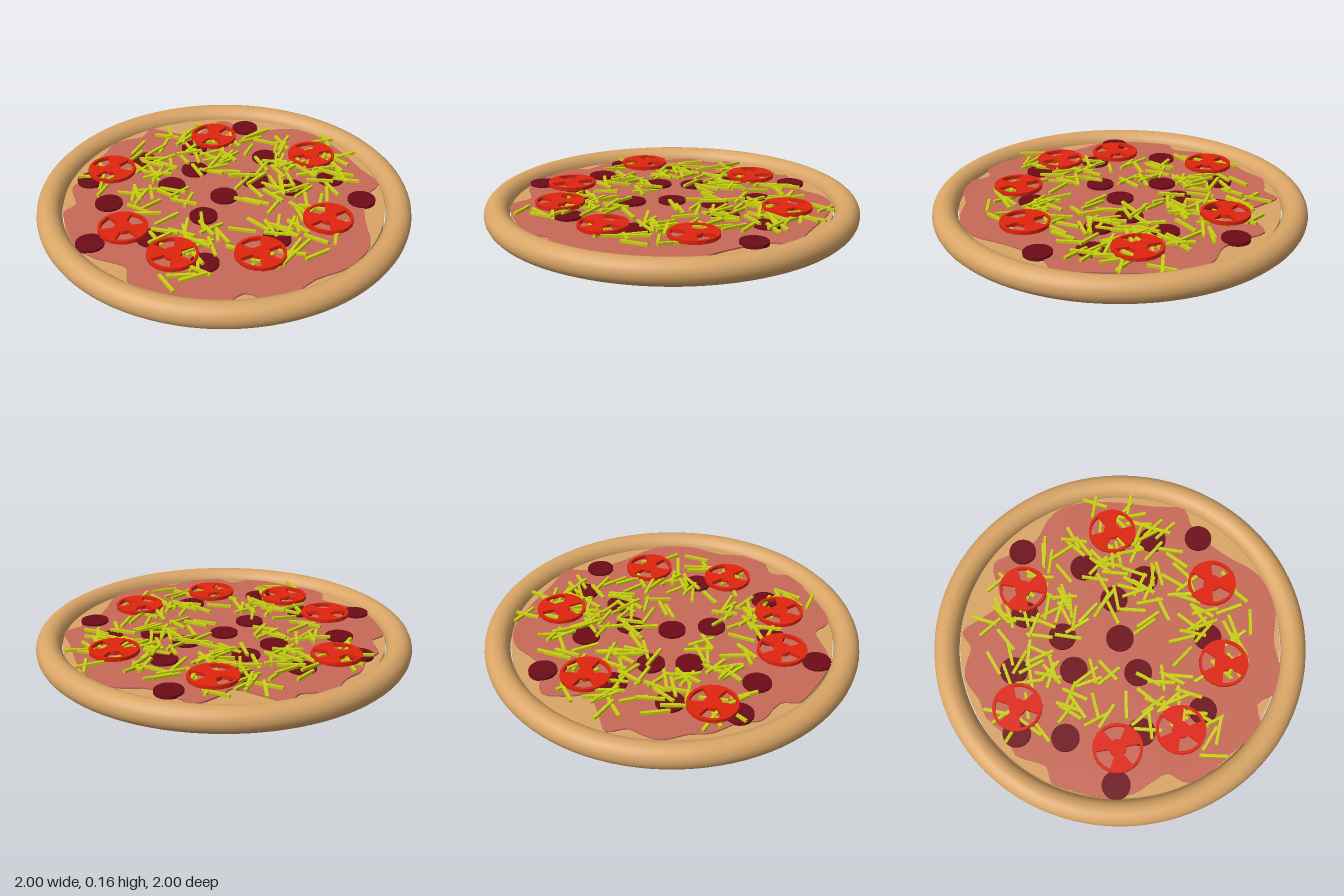
import * as THREE from 'three';

const DOUGH = new THREE.MeshStandardMaterial({ color: 0xd9a566 });
const SAUCE = new THREE.MeshStandardMaterial({ color: 0xc86a58 });
const SAUSAGE = new THREE.MeshStandardMaterial({ color: 0x6e0c18 });
const TOMATO = new THREE.MeshStandardMaterial({ color: 0xe0240e });
const CHEESE = new THREE.MeshStandardMaterial({ color: 0xc8d010 });

function seeded(seed) {
  let s = seed;
  return () => (s = (s * 16807) % 2147483647) / 2147483647;
}

function add(parent, name, geometry, material, x = 0, y = 0, z = 0) {
  const mesh = new THREE.Mesh(geometry, material);
  mesh.name = name;
  mesh.position.set(x, y, z);
  parent.add(mesh);
  return mesh;
}

// Flat slab lying on the ground plane; shape y becomes -z
function slab(shape, depth) {
  const g = new THREE.ExtrudeGeometry(shape, { depth, bevelEnabled: false, curveSegments: 10 });
  return g.rotateX(-Math.PI / 2);
}

// Tomato slice: a thin rim, a hub and three broad spokes around three windows
function tomatoGeometry() {
  const shape = new THREE.Shape().absarc(0, 0, 0.131, 0, Math.PI * 2);
  for (let i = 0; i < 3; i++) {
    const mid = -Math.PI / 2 + i * Math.PI * 2 / 3;
    const hole = new THREE.Path();
    hole.absarc(0, 0, 0.115, mid - 0.52, mid + 0.52, false);
    hole.absarc(0, 0, 0.045, mid + 0.5, mid - 0.5, true);
    hole.closePath();
    shape.holes.push(hole);
  }
  return slab(shape, 0.02);
}

export function createModel() {
  const pizza = new THREE.Group();
  pizza.name = 'pizza';

  // Dough disc and rounded crust
  add(pizza, 'base', new THREE.CylinderGeometry(0.86, 0.86, 0.1, 96), DOUGH, 0, 0.05, 0);
  add(pizza, 'crust', new THREE.TorusGeometry(0.9325, 0.0675, 20, 96).rotateX(Math.PI / 2), DOUGH, 0, 0.0875, 0);

  // Sauce with a wavy outline (x, z)
  const outline = [
    [-.07, -.85], [.09, -.83], [.38, -.73], [.53, -.68], [.55, -.54], [.68, -.35], [.83, -.19], [.86, .03],
    [.8, .21], [.79, .4], [.74, .48], [.62, .52], [.6, .67], [.46, .72], [.33, .79], [.2, .84], [.14, .83],
    [.07, .77], [-.01, .79], [-.12, .83], [-.26, .82], [-.45, .73], [-.52, .68], [-.53, .59], [-.67, .5],
    [-.69, .4], [-.78, .27], [-.8, .16], [-.85, .04], [-.83, -.05], [-.79, -.13], [-.82, -.23], [-.72, -.28],
    [-.56, -.36], [-.58, -.43], [-.58, -.59], [-.45, -.63], [-.32, -.68], [-.24, -.78], [-.17, -.83],
  ].map(([x, z]) => new THREE.Vector3(x, -z, 0));
  const curve = new THREE.CatmullRomCurve3(outline, true);
  const sauceShape = new THREE.Shape(curve.getPoints(120).slice(0, -1).map((p) => new THREE.Vector2(p.x, p.y)));
  add(pizza, 'sauce', slab(sauceShape, 0.008), SAUCE, 0, 0.1, 0);

  // Sausage slices
  const sausages = new THREE.Group();
  sausages.name = 'sausageSlices';
  const sausageGeo = new THREE.CylinderGeometry(0.074, 0.074, 0.018, 32);
  for (const [x, z] of [
    [-.41, -.62], [-.1, -.45], [.31, -.53], [.56, -.48], [.21, -.31], [.02, -.23], [-.47, -.25], [-.3, -.08],
    [0, 0], [-.59, .05], [-.28, .12], [.05, .21], [.46, .1], [-.64, .39], [-.4, .47], [-.01, .53], [.33, .49],
    [-.2, .77],
  ]) add(sausages, 'sausageSlice', sausageGeo, SAUSAGE, x, 0.111, z);
  pizza.add(sausages);

  // Tomato slices (x, z, turn)
  const tomatoes = new THREE.Group();
  tomatoes.name = 'tomatoSlices';
  const tomatoGeo = tomatoGeometry();
  for (const [x, z, turn] of [
    [.1, -.62, 0], [-.45, -.39, .6], [.56, -.19, .3], [.5, .27, .2], [-.61, .26, .5], [.19, .57, .15],
    [-.15, .59, 1],
  ]) add(tomatoes, 'tomatoSlice', tomatoGeo, TOMATO, x, 0.13, z).rotation.y = turn;
  pizza.add(tomatoes);

  // Grated cheese strewn in loose heaps (x, z, spread, count)
  const cheese = new THREE.Group();
  cheese.name = 'gratedCheese';
  const rand = seeded(4271);
  const strand = new THREE.BoxGeometry(0.145, 0.014, 0.016);
  for (const [x, z, spread, count] of [
    [-.15, -.42, .24, 25], [.25, -.42, .22, 28], [.12, -.68, .16, 9], [-.5, -.3, .2, 16], [-.52, .02, .17, 16],
    [-.2, -.2, .17, 8], [.12, -.12, .15, 7], [.55, -.05, .22, 14], [.45, .18, .17, 13], [-.2, .3, .18, 15],
    [.15, .4, .17, 12], [.2, .6, .2, 13], [-.6, .3, .14, 6],
  ]) {
    for (let i = 0; i < count; i++) {
      const a = rand() * Math.PI * 2;
      const r = spread * Math.sqrt(rand());
      const m = add(cheese, 'cheeseStrand', strand, CHEESE, x + r * Math.cos(a), 0.122 + rand() * 0.012, z + r * Math.sin(a));
      m.rotation.set(0, rand() * Math.PI, (rand() - 0.5) * 0.2);
    }
  }
  pizza.add(cheese);
  return pizza;
}
